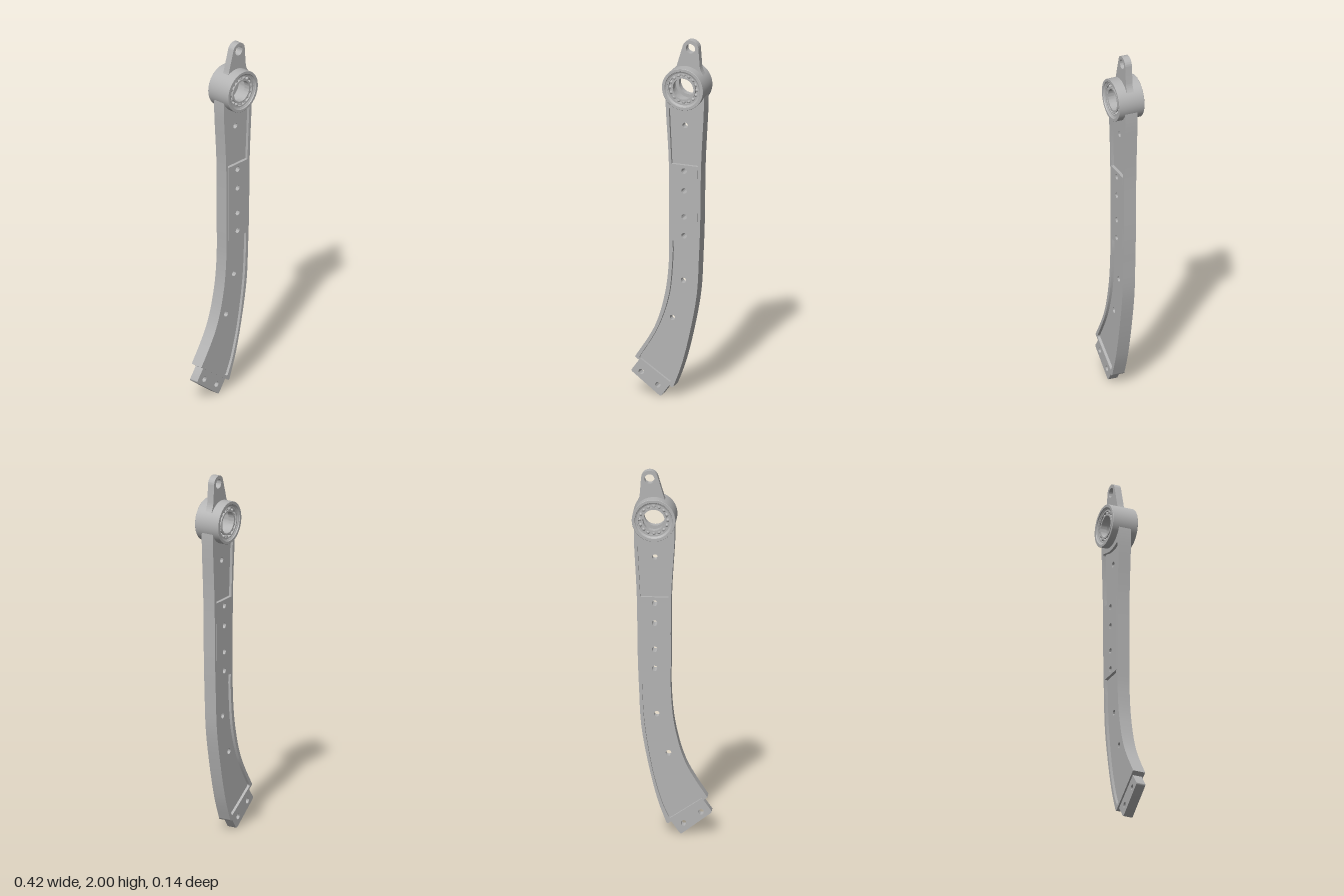
import * as THREE from 'three';
import { toCreasedNormals } from 'three/addons/utils/BufferGeometryUtils.js';

const HUB = [0.0935, 1.741];
const V = (p) => new THREE.Vector2(p[0], p[1]);

// flat plate, symmetric about z = 0
function plate(shape, half) {
  const g = new THREE.ExtrudeGeometry(shape, { depth: half * 2, bevelEnabled: false, curveSegments: 20 });
  g.translate(0, 0, -half);
  return toCreasedNormals(g, 0.5);
}

// drill round holes of radius r at the listed points
function drill(shape, points, r) {
  for (const [x, y] of points) {
    const h = new THREE.Path();
    h.absarc(x, y, r, 0, Math.PI * 2, true);
    shape.holes.push(h);
  }
  return shape;
}

// closed profile [r, z] turned around the hub axis
function turned(profile) {
  const pts = [...profile, profile[0]].map(V);
  const g = new THREE.LatheGeometry(pts, 56).rotateX(Math.PI / 2);
  return toCreasedNormals(g, 0.5);
}

// upper pocket, its top edge curving around the hub
function upperPocket() {
  const s = new THREE.Shape();
  s.moveTo(0.018, 1.308);
  s.lineTo(0.167, 1.308);
  s.lineTo(0.182, 1.605);
  s.quadraticCurveTo(0.182, 1.62, 0.168, 1.617);
  s.quadraticCurveTo(0.0935, 1.588, 0.018, 1.617);
  s.quadraticCurveTo(0.004, 1.62, 0.004, 1.605);
  s.closePath();
  return s;
}

// lower pocket, following the bend
function lowerPocket() {
  const s = new THREE.Shape();
  s.moveTo(0.024, 0.88);
  s.splineThru([[0.024, 0.785], [0.003, 0.575], [-0.06, 0.385], [-0.16, 0.215]].map(V));
  s.quadraticCurveTo(-0.166, 0.205, -0.155, 0.199);
  s.lineTo(0.003, 0.094);
  s.quadraticCurveTo(0.013, 0.088, 0.018, 0.1);
  s.splineThru([[0.056, 0.19], [0.103, 0.36], [0.143, 0.6], [0.156, 0.8], [0.158, 0.88]].map(V));
  s.closePath();
  return s;
}

// outer outline of the arm
function armOutline() {
  const s = new THREE.Shape();
  s.moveTo(-0.188, 0.208);
  s.lineTo(0.015, 0.064);
  s.quadraticCurveTo(0.024, 0.058, 0.029, 0.068);
  s.splineThru([[0.077, 0.2], [0.124, 0.39], [0.161, 0.6], [0.173, 0.81], [0.18, 1.0],
    [0.185, 1.315], [0.2, 1.62], [HUB[0] + 0.105, HUB[1]]].map(V));
  s.absarc(HUB[0], HUB[1], 0.105, 0, Math.PI, true);
  s.splineThru([[-0.014, 1.62], [0.003, 1.315], [0.005, 0.97], [0.003, 0.76],
    [-0.02, 0.575], [-0.077, 0.39], [-0.188, 0.208]].map(V));
  return s;
}

export function createModel() {
  const group = new THREE.Group();
  const metal = new THREE.MeshStandardMaterial({ color: 0xb4b4b4 });
  metal.name = 'grey metal';
  const add = (name, geometry) => {
    const m = new THREE.Mesh(geometry, metal);
    m.name = name;
    group.add(m);
    return m;
  };

  const padBolts = [[0.09, 1.275], [0.09, 1.165], [0.09, 1.02], [0.09, 0.915]];

  // arm rim with open pockets, then the thinner webs that floor them
  const arm = armOutline();
  arm.holes.push(upperPocket(), lowerPocket());
  add('armRim', plate(drill(arm, padBolts, 0.015), 0.035));
  add('upperWeb', plate(drill(upperPocket(), [[0.09, 1.525]], 0.015), 0.02));
  add('lowerWeb', plate(drill(lowerPocket(), [[0.08, 0.66], [0.018, 0.445]], 0.015), 0.02));

  // slightly raised mounting pad between the pockets
  const pad = new THREE.Shape([[0.018, 0.88], [0.162, 0.88], [0.167, 1.308], [0.018, 1.308]].map(V));
  add('mountingPad', plate(drill(pad, padBolts, 0.015), 0.0365));

  // foot tab with two bolt holes and rounded lower corners
  const tab = new THREE.Shape();
  tab.moveTo(-0.162, 0.197);
  tab.lineTo(-0.207, 0.135);
  tab.quadraticCurveTo(-0.214, 0.125, -0.204, 0.118);
  tab.lineTo(-0.056, 0.007);
  tab.quadraticCurveTo(-0.046, 0, -0.039, 0.01);
  tab.lineTo(0.006, 0.073);
  tab.closePath();
  add('footTab', plate(drill(tab, [[-0.155, 0.125], [-0.062, 0.062]], 0.015), 0.026));

  // top lug flaring into the hub
  const lug = new THREE.Shape();
  lug.moveTo(0.02, 1.815);
  lug.absarc(HUB[0], HUB[1], 0.1, 2.35, 0.79, true);
  lug.lineTo(0.19, 1.815);
  lug.quadraticCurveTo(0.173, 1.84, 0.171, 1.865);
  lug.lineTo(0.164, 1.955);
  lug.absarc(0.119, 1.955, 0.045, 0, 2.9, false);
  lug.lineTo(0.045, 1.865);
  lug.quadraticCurveTo(0.038, 1.835, 0.02, 1.815);
  add('topLug', plate(drill(lug, [[0.119, 1.955]], 0.026), 0.019));

  // hub sleeve with a narrower shoulder in the middle of the bore
  const hub = add('hub', turned([
    [0.1155, -0.071], [0.1155, 0.071], [0.114, 0.0725], [0.1, 0.0725], [0.098, 0.068], [0.09, 0.064],
    [0.09, 0.028], [0.076, 0.028], [0.076, -0.028], [0.09, -0.028],
    [0.09, -0.064], [0.098, -0.068], [0.1, -0.0725], [0.114, -0.0725]]));
  hub.position.set(HUB[0], HUB[1], 0);

  // one ball bearing at each end of the bore
  const races = turned([[0.0905, 0.029], [0.0905, 0.062], [0.082, 0.062], [0.082, 0.046],
    [0.068, 0.046], [0.068, 0.062], [0.058, 0.062], [0.058, 0.029]]);
  const ball = new THREE.SphereGeometry(0.0095, 14, 10);
  for (const side of [1, -1]) {
    const bearing = new THREE.Group();
    bearing.name = side > 0 ? 'frontBearing' : 'backBearing';
    bearing.position.set(HUB[0], HUB[1], 0);
    if (side < 0) bearing.rotation.y = Math.PI;
    const ring = new THREE.Mesh(races, metal);
    ring.name = 'bearingRaces';
    bearing.add(ring);
    for (let i = 0; i < 16; i++) {
      const a = (i / 16) * Math.PI * 2;
      const b = new THREE.Mesh(ball, metal);
      b.name = 'bearingBall';
      b.position.set(Math.cos(a) * 0.075, Math.sin(a) * 0.075, 0.051);
      bearing.add(b);
    }
    group.add(bearing);
  }
  return group;
}
